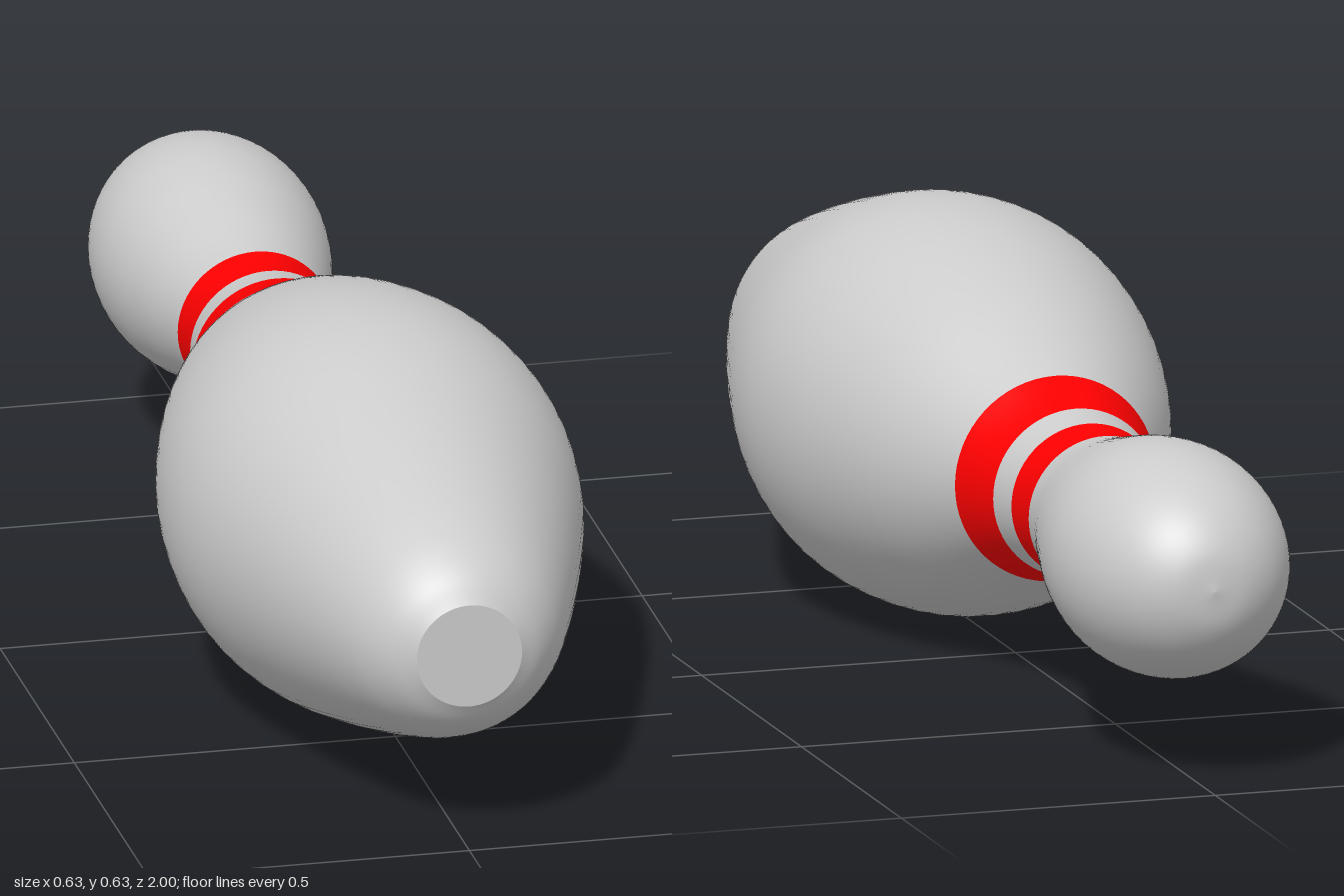
import * as THREE from 'three';

// Silhouette of the pin: [radius, distance along its axis], base to crown
const PROFILE = [
  [0.082, -1], [0.118, -0.975], [0.15, -0.935], [0.177, -0.88], [0.213, -0.78],
  [0.268, -0.6], [0.305, -0.45], [0.316, -0.34], [0.307, -0.22], [0.28, -0.1],
  [0.24, 0.02], [0.16, 0.2], [0.131, 0.3], [0.118, 0.4], [0.126, 0.48],
  [0.151, 0.58], [0.172, 0.67], [0.18, 0.75], [0.172, 0.83], [0.148, 0.9],
  [0.11, 0.955], [0.06, 0.989], [0, 1],
];
const SIDES = 64;

export function createModel() {
  const group = new THREE.Group();
  const white = new THREE.MeshStandardMaterial({ color: 0xcccccc });
  const red = new THREE.MeshStandardMaterial({ color: 0xff0000 });

  const curve = new THREE.CatmullRomCurve3(PROFILE.map(([r, s]) => new THREE.Vector3(r, s, 0)));
  const samples = curve.getPoints(132).map((p) => new THREE.Vector2(Math.max(p.x, 0), p.y));

  // Profile point at an exact distance along the axis
  const pointAt = (s) => {
    const i = Math.max(1, samples.findIndex((p) => p.y >= s));
    const a = samples[i - 1], b = samples[i];
    return a.clone().lerp(b, (s - a.y) / (b.y - a.y));
  };

  // Turned section between two distances, laid down with the base facing +z
  const addSection = (name, from, to, material) => {
    const inner = samples.filter((p) => p.y > from + 0.001 && p.y < to - 0.001);
    const start = from <= -1 ? samples[0] : pointAt(from);
    const end = to >= 1 ? samples[samples.length - 1] : pointAt(to);
    const geometry = new THREE.LatheGeometry([start, ...inner, end], SIDES);
    geometry.rotateX(-Math.PI / 2);
    const mesh = new THREE.Mesh(geometry, material);
    mesh.name = name;
    mesh.position.y = 0.316;
    group.add(mesh);
  };

  addSection('body', -1, 0.2, white);
  addSection('wideStripe', 0.2, 0.3, red);
  addSection('neck', 0.3, 0.36, white);
  addSection('narrowStripe', 0.36, 0.445, red);
  addSection('head', 0.445, 1, white);

  // Flat base
  const base = new THREE.Mesh(new THREE.CircleGeometry(0.082, SIDES), white);
  base.name = 'base';
  base.position.set(0, 0.316, 1);
  group.add(base);

  return group;
}
